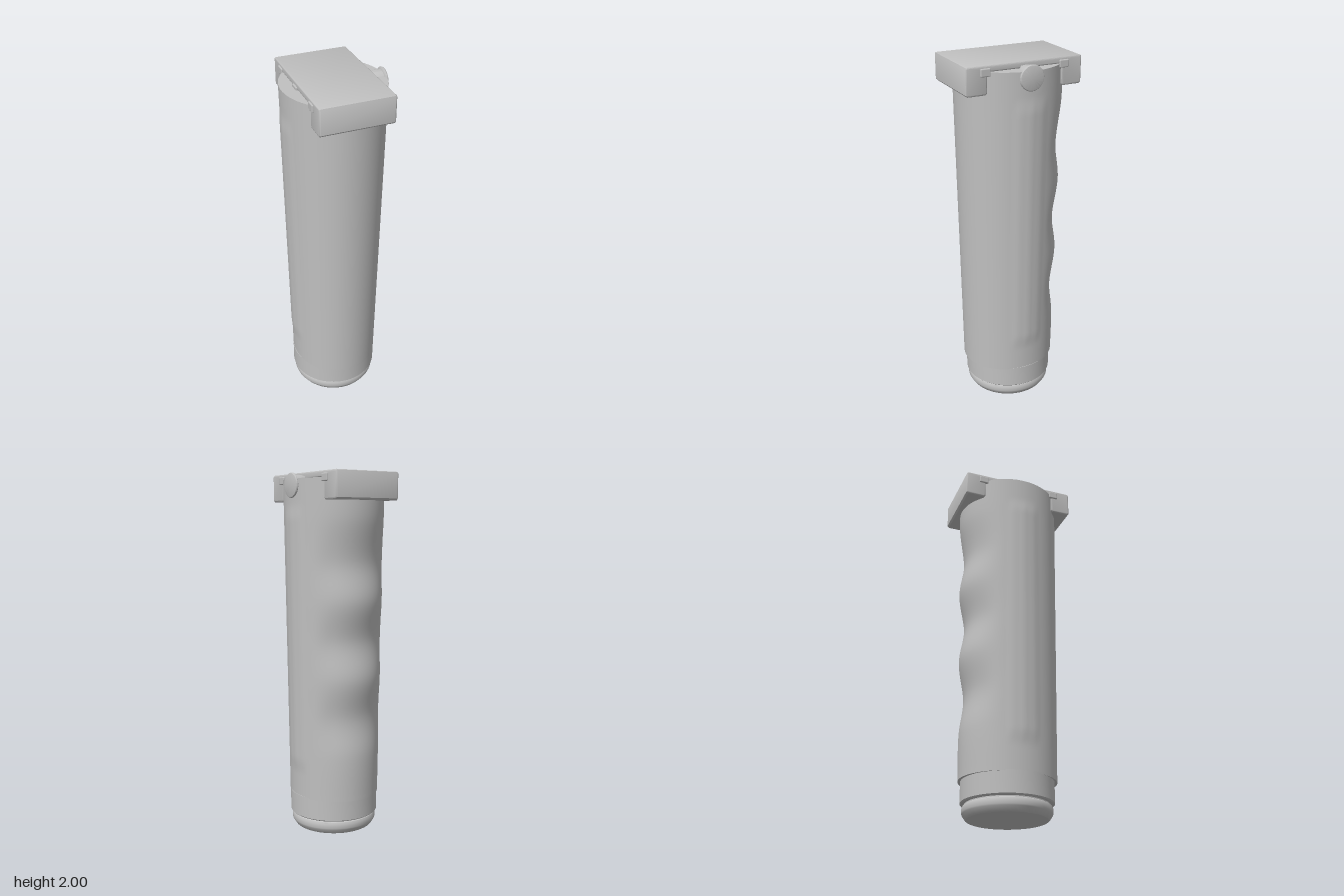
import * as THREE from 'three';
import { RoundedBoxGeometry } from 'three/addons/geometries/RoundedBoxGeometry.js';
import { toCreasedNormals } from 'three/addons/utils/BufferGeometryUtils.js';

const lerp = THREE.MathUtils.lerp;
const smooth = THREE.MathUtils.smoothstep;
const BOTTOM = 0.2, TOP = 1.965;

// Finger-groove profile along the back: x = depth, y = height
const backCurve = new THREE.SplineCurve([
  [0.265, 0.2], [0.266, 0.45], [0.243, 0.66], [0.275, 0.88], [0.248, 1.09],
  [0.283, 1.31], [0.258, 1.52], [0.290, 1.76], [0.291, 1.965],
].map(([d, y]) => new THREE.Vector2(d, y)));
const backPoints = backCurve.getPoints(160);
function backDepth(y) {
  const i = backPoints.findIndex((p) => p.y >= y - 1e-6);
  if (i <= 0) return backPoints[i < 0 ? backPoints.length - 1 : 0].x;
  const a = backPoints[i - 1], b = backPoints[i];
  return lerp(a.x, b.x, (y - a.y) / (b.y - a.y));
}

// Point on the grip surface at angle a (0 = left side, PI/2 = front)
function gripPoint(a, y) {
  const t = (y - BOTTOM) / (TOP - BOTTOM);
  const c = Math.cos(a), s = Math.sin(a);
  const rx = lerp(0.247, 0.274, t), rz = lerp(0.268, 0.295, t);
  let x = rx * c, z = rz * s;
  // grooves fade out toward the sides
  if (s < 0) z *= lerp(1, backDepth(y) / rz, smooth(-s, 0.3, 0.85));
  // raised panel with a shallow central ridge on each side
  const along = smooth(y, 0.33, 0.43) * (1 - smooth(y, 1.74, 1.84));
  const across = 1 - smooth(Math.abs(z), 0.065, 0.095);
  const ridge = 1 - smooth(Math.abs(z), 0, 0.025);
  x += Math.sign(c) * along * (0.005 * across + 0.003 * ridge);
  return [x, y, z];
}

function gripGeometry(sides = 96, rows = 110) {
  const pos = [], index = [];
  for (let j = 0; j <= rows; j++) {
    for (let i = 0; i < sides; i++) {
      pos.push(...gripPoint((i / sides) * Math.PI * 2, lerp(BOTTOM, TOP, j / rows)));
    }
  }
  for (let j = 0; j < rows; j++) {
    for (let i = 0; i < sides; i++) {
      const k = (i + 1) % sides;
      const a = j * sides + i, b = j * sides + k;
      index.push(a, a + sides, b, b, a + sides, b + sides);
    }
  }
  // flat ends
  for (const [row, up] of [[0, false], [rows, true]]) {
    const centre = pos.length / 3;
    pos.push(0, row ? TOP : BOTTOM, 0);
    for (let i = 0; i < sides; i++) {
      const a = row * sides + i, b = row * sides + ((i + 1) % sides);
      index.push(centre, up ? b : a, up ? a : b);
    }
  }
  const geo = new THREE.BufferGeometry();
  geo.setAttribute('position', new THREE.Float32BufferAttribute(pos, 3));
  geo.setIndex(index);
  return toCreasedNormals(geo, 0.7);
}

const lathe = (points) => toCreasedNormals(
  new THREE.LatheGeometry(points.map(([r, y]) => new THREE.Vector2(r, y)), 72), 0.5);

export function createModel() {
  const model = new THREE.Group();
  model.name = 'handGrip';
  const grey = new THREE.MeshStandardMaterial({ color: 0xc0c0c0 });
  grey.name = 'plain grey';

  function add(name, geo, x = 0, y = 0, z = 0, parent = model) {
    const mesh = new THREE.Mesh(geo, grey);
    mesh.name = name;
    mesh.position.set(x, y, z);
    parent.add(mesh);
    return mesh;
  }

  add('grip', gripGeometry());

  // Collar and end plug
  add('collar', lathe([[0, 0.08], [0.244, 0.08], [0.25, 0.086], [0.25, 0.205], [0, 0.205]]));
  add('endPlug', lathe([
    [0, 0], [0.215, 0], [0.222, 0.004], [0.238, 0.028], [0.241, 0.036],
    [0.24, 0.06], [0.235, 0.07], [0.228, 0.074], [0.228, 0.09], [0, 0.09],
  ]));

  // Top clamp: thin bridge with a deep jaw at each end
  const clamp = new THREE.Group();
  clamp.name = 'clamp';
  model.add(clamp);
  const outline = new THREE.Shape();
  const E = 0.327, I = 0.21, r = 0.01;
  [[-E, 1.85 + r], [-E + r, 1.85], [-I - r, 1.85], [-I, 1.85 + r], [-I, 1.965], [I, 1.965],
    [I, 1.85 + r], [I + r, 1.85], [E - r, 1.85], [E, 1.85 + r], [E, 2 - r], [E - 0.003, 1.997],
    [E - r, 2], [-E + r, 2], [-E + 0.003, 1.997], [-E, 2 - r]]
    .forEach(([z, y], i) => (i ? outline.lineTo(z, y) : outline.moveTo(z, y)));
  const bridge = new THREE.ExtrudeGeometry(outline, {
    depth: 0.384, bevelSize: 0.008, bevelOffset: -0.008, bevelThickness: 0.008, bevelSegments: 3,
  });
  bridge.translate(0, 0, -0.192).rotateY(Math.PI / 2);
  add('bridge', toCreasedNormals(bridge, 0.7), 0, 0, 0, clamp);

  // Small latch tabs along both edges
  for (const side of [-1, 1]) {
    for (const z of [-0.222, 0.222]) {
      add('cornerTab', new RoundedBoxGeometry(0.03, 0.042, 0.055, 2, 0.006),
        side * 0.192, 1.965, z, clamp);
    }
    add('middleTab', new RoundedBoxGeometry(0.03, 0.03, 0.058, 2, 0.005),
      side * 0.193, 1.965, 0, clamp);
  }

  // Release button on the left side: stem and wider rounded head
  const button = lathe([
    [0, 0], [0.047, 0], [0.053, 0.004], [0.055, 0.012], [0.055, 0.062], [0.062, 0.064],
    [0.067, 0.068], [0.067, 0.073], [0.064, 0.078], [0.058, 0.08], [0, 0.08],
  ]);
  button.rotateZ(-Math.PI / 2);
  add('releaseButton', button, 0.2, 1.93, 0);

  return model;
}
